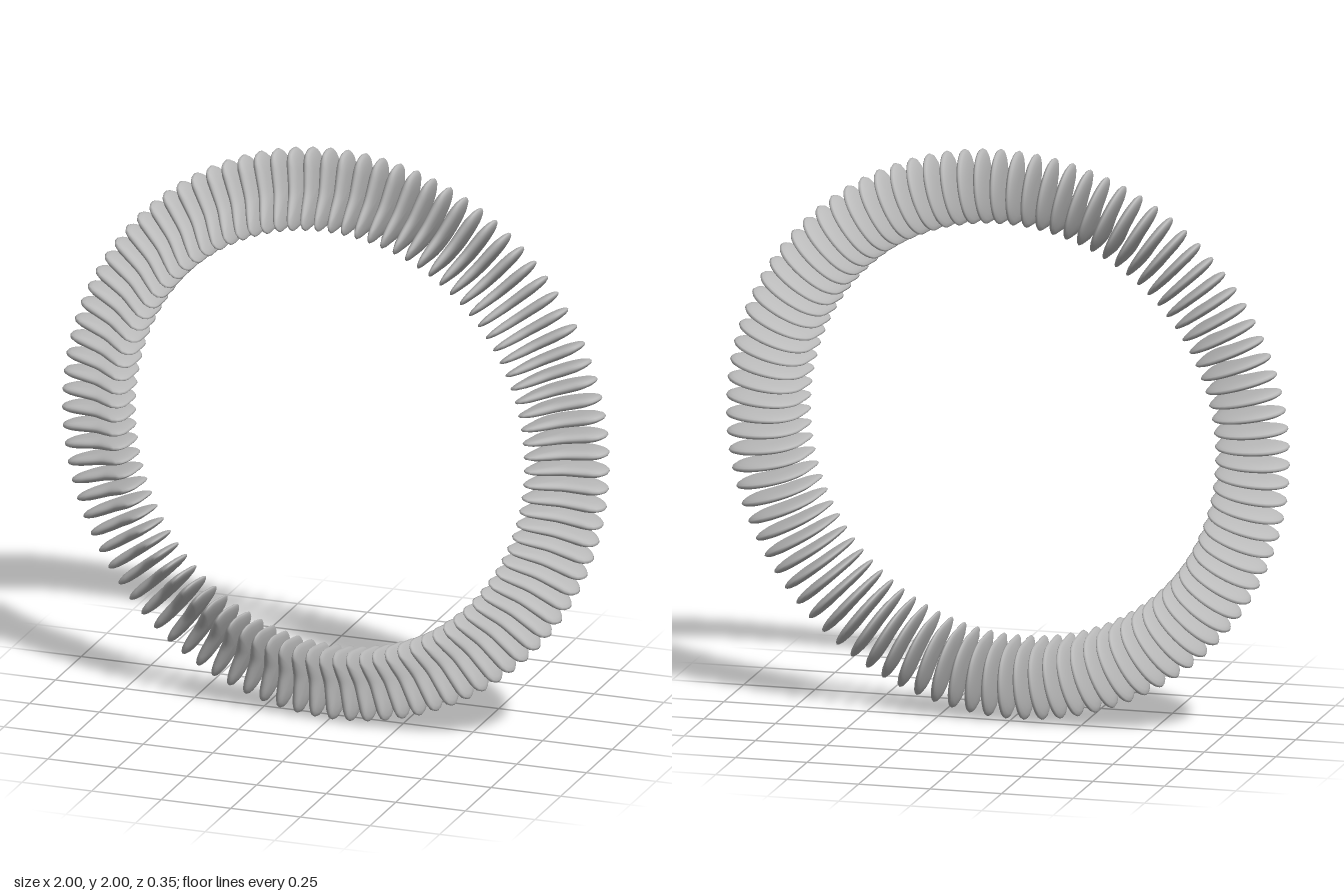
import * as THREE from 'three';

const COUNT = 97;        // plates around the ring
const SEGMENTS = 36;     // points around one plate outline
const LEVELS = 10;       // layers through a plate's thickness
const HALF_THICK = 0.018;

// Plate outline as (radius, depth): round at the back, hollow on the outer front
const OUTLINE = [
  [1.0, -0.02], [0.985, 0.025], [0.93, 0.042], [0.86, 0.06], [0.8, 0.095],
  [0.757, 0.113], [0.736, 0.09], [0.736, 0.02], [0.748, -0.05], [0.79, -0.098],
  [0.86, -0.115], [0.94, -0.098], [0.985, -0.062],
];

// Pillow-shaped plate lying in the radius/depth plane, slightly thicker outward
function plateGeometry() {
  const curve = new THREE.CatmullRomCurve3(
    OUTLINE.map(([r, z]) => new THREE.Vector3(r, 0, z)), true);
  const points = curve.getSpacedPoints(SEGMENTS).slice(0, SEGMENTS);
  const centre = new THREE.Vector3(0.86, 0, 0);
  const positions = [];
  const index = [];
  for (let j = 0; j <= LEVELS; j++) {
    const phi = (j / LEVELS - 0.5) * Math.PI;
    const scale = Math.pow(Math.max(Math.cos(phi), 0), 0.6);
    for (const p of points) {
      const q = centre.clone().lerp(p, scale);
      const h = HALF_THICK * Math.pow(q.x / 0.9, 1.2);
      positions.push(q.x, Math.sin(phi) * h, q.z);
    }
  }
  for (let j = 0; j < LEVELS; j++) {
    for (let i = 0; i < SEGMENTS; i++) {
      const next = (i + 1) % SEGMENTS;
      const a = j * SEGMENTS + i, b = j * SEGMENTS + next;
      const c = a + SEGMENTS, d = b + SEGMENTS;
      index.push(a, c, b, b, c, d);
    }
  }
  const geometry = new THREE.BufferGeometry();
  geometry.setAttribute('position', new THREE.Float32BufferAttribute(positions, 3));
  geometry.setIndex(index);
  geometry.computeVertexNormals();
  return geometry;
}

export function createModel() {
  const model = new THREE.Group();
  model.name = 'plateRing';
  const grey = new THREE.MeshStandardMaterial({ color: 0xbababa });
  grey.name = 'lightGrey';

  // Ring of radial plates, leaning slightly
  const ring = new THREE.Group();
  ring.name = 'ring';
  const geometry = plateGeometry();
  for (let i = 0; i < COUNT; i++) {
    const plate = new THREE.Mesh(geometry, grey);
    plate.name = 'plate';
    plate.rotation.z = (i / COUNT) * Math.PI * 2;
    ring.add(plate);
  }
  ring.rotation.set(-0.055, -0.055, 0);
  ring.position.y = 1;
  model.add(ring);
  return model;
}
